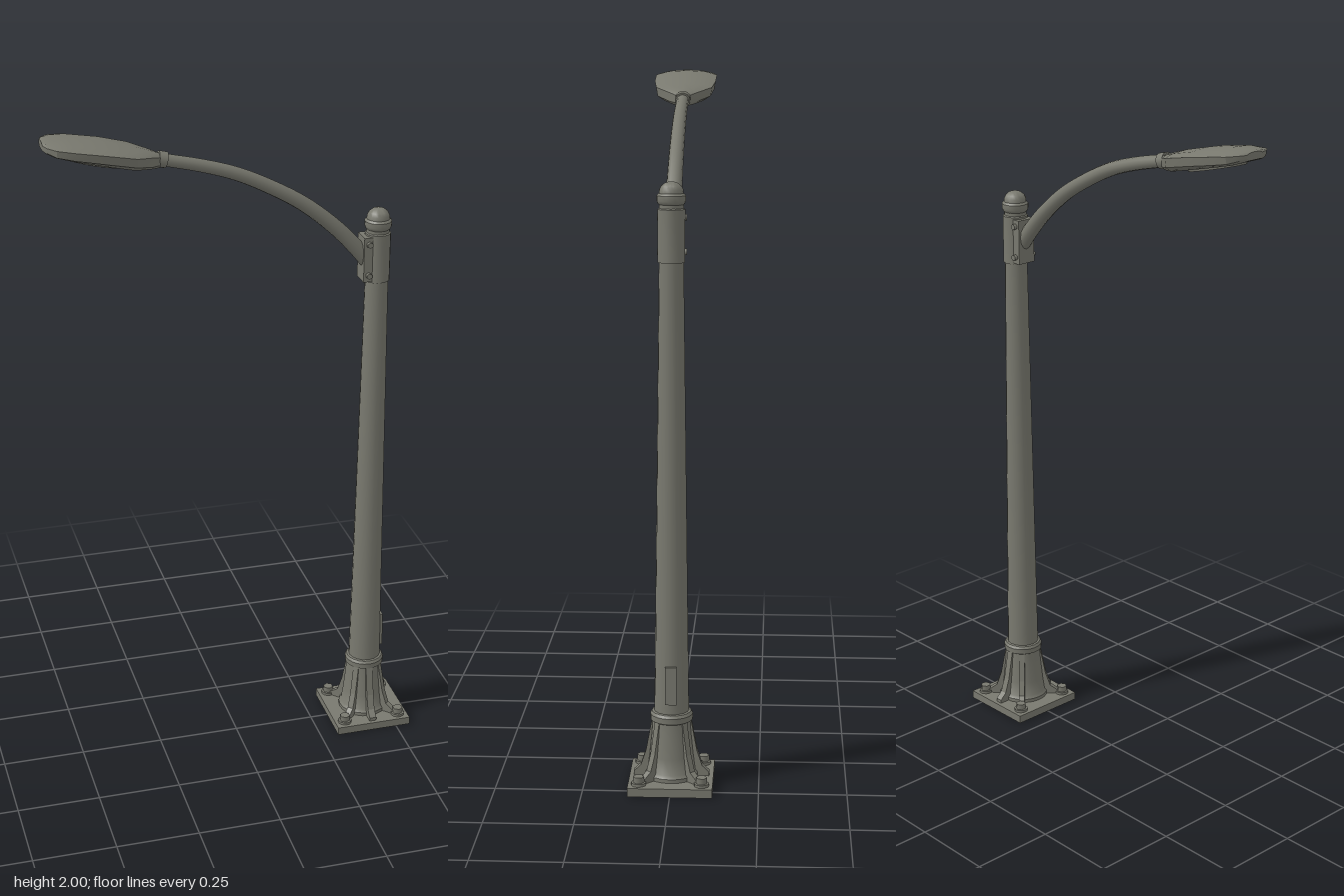
import * as THREE from 'three';
import { toCreasedNormals } from 'three/addons/utils/BufferGeometryUtils.js';

const POST_X = 0.425;

// Closed loft through rings of [x, y, z] points, capped at both ends
function loft(rings) {
  const n = rings[0].length, index = [];
  for (let i = 0; i < rings.length - 1; i++) {
    for (let j = 0; j < n; j++) {
      const a = i * n + j, b = i * n + (j + 1) % n;
      index.push(a, a + n, b + n, a, b + n, b);
    }
  }
  const last = (rings.length - 1) * n;
  for (let j = 1; j < n - 1; j++) {
    index.push(0, j, j + 1, last, last + j + 1, last + j);
  }
  const geo = new THREE.BufferGeometry();
  geo.setAttribute('position', new THREE.Float32BufferAttribute(rings.flat(2), 3));
  geo.setIndex(index);
  return toCreasedNormals(geo, 0.5);
}

export function createModel() {
  const model = new THREE.Group();
  model.name = 'streetLamp';
  const metal = new THREE.MeshStandardMaterial({ color: 0x79796f });
  metal.name = 'grey painted metal';

  const add = (name, geo, x = 0, y = 0, z = 0, parent = model) => {
    const mesh = new THREE.Mesh(geo, metal);
    mesh.name = name;
    mesh.position.set(x, y, z);
    parent.add(mesh);
    return mesh;
  };
  const lathe = (profile, segments = 20) => toCreasedNormals(
    new THREE.LatheGeometry(profile.map(p => new THREE.Vector2(...p)), segments), 0.6);

  // Everything centred on the post axis
  const post = new THREE.Group();
  post.name = 'post';
  post.position.x = POST_X;
  model.add(post);

  add('basePlate', new THREE.BoxGeometry(0.24, 0.025, 0.24), 0, 0.0125, 0, post);
  add('baseFlare', lathe([[0, 0.025], [0.077, 0.025], [0.077, 0.036], [0.07, 0.045], [0.064, 0.09],
    [0.058, 0.15], [0.055, 0.19], [0.06, 0.193], [0.061, 0.21], [0.056, 0.218], [0.046, 0.22]]), 0, 0, 0, post);
  add('pole', lathe([[0.05, 0.2], [0.049, 0.24], [0.034, 1.52], [0.034, 1.66]], 16), 0, 0, 0, post);
  add('sleeve', lathe([[0.033, 1.5], [0.038, 1.5], [0.038, 1.645], [0.033, 1.648]]), 0, 0, 0, post);

  // Finial: stepped collar and dome
  add('finial', lathe([[0.033, 1.64], [0.031, 1.655], [0.037, 1.66], [0.04, 1.668], [0.04, 1.682], [0.034, 1.688],
    [0.033, 1.698], [0.028, 1.708], [0.018, 1.716], [0.008, 1.719], [0, 1.72]]), 0, 0, 0, post);

  // Access hatch low on the post
  const hatch = add('hatch', new THREE.BoxGeometry(0.014, 0.11, 0.032), 0.047, 0.305, 0, post);
  hatch.rotation.z = 0.012;

  // Base ribs: one to each corner bolt, plus front and back
  const ribGeo = (reach, t) => {
    const shape = new THREE.Shape([[0.03, 0.025], [reach, 0.025], [reach, 0.036], [0.088, 0.055],
      [0.073, 0.1], [0.062, 0.16], [0.056, 0.192], [0.03, 0.192]].map(p => new THREE.Vector2(...p)));
    return new THREE.ExtrudeGeometry(shape, { depth: t, bevelEnabled: false }).translate(0, 0, -t / 2);
  };
  for (let i = 0; i < 4; i++) {
    const a = Math.PI / 4 + i * Math.PI / 2;
    add('cornerRib', ribGeo(0.115, 0.018), 0, 0, 0, post).rotation.y = a;
    const x = 0.089 * Math.sign(Math.cos(a)), z = 0.089 * Math.sign(Math.sin(a));
    add('boltWasher', new THREE.CylinderGeometry(0.021, 0.021, 0.008, 14), x, 0.029, z, post);
    add('anchorNut', new THREE.CylinderGeometry(0.016, 0.016, 0.02, 6), x, 0.04, z, post);
  }
  for (const s of [-1, 1]) {
    add('sideRib', ribGeo(0.108, 0.022), 0, 0, 0, post).rotation.y = s * Math.PI / 2;
  }

  // Arm bracket with through bolts
  add('bracket', new THREE.BoxGeometry(0.026, 0.135, 0.06), -0.037, 1.572, 0, post);
  for (const y of [1.525, 1.62]) {
    for (const s of [-1, 1]) {
      const bolt = add('bracketBolt', new THREE.CylinderGeometry(0.009, 0.009, 0.014, 6), -0.035, y, s * 0.034, post);
      bolt.rotation.x = Math.PI / 2;
    }
  }

  // Curved arm, slightly thicker at the post
  const path = new THREE.CatmullRomCurve3([[0.4, 1.555], [0.37, 1.592], [0.3, 1.667], [0.2, 1.75], [0.1, 1.81],
    [0, 1.858], [-0.1, 1.89], [-0.23, 1.921]].map(([x, y]) => new THREE.Vector3(x, y, 0)));
  const arm = new THREE.TubeGeometry(path, 28, 0.02, 12);
  const pos = arm.attributes.position, v = new THREE.Vector3();
  for (let i = 0; i < pos.count; i++) {
    const t = Math.floor(i / 13) / 28, c = path.getPointAt(t);
    v.fromBufferAttribute(pos, i).sub(c).multiplyScalar(1.2 - 0.3 * t).add(c);
    pos.setXYZ(i, v.x, v.y, v.z);
  }
  add('arm', arm);
  const collar = add('armCollar', new THREE.CylinderGeometry(0.023, 0.023, 0.025, 14), -0.214, 1.918, 0);
  collar.rotation.z = Math.PI / 2 - 0.24;

  // Lamp head stations: x, half width, top, upper edge, lower edge, bottom
  const stations = [
    [-0.55, 0.03, 1.998, 1.992, 1.982, 1.976],
    [-0.542, 0.055, 2.0, 1.992, 1.978, 1.972],
    [-0.52, 0.08, 2.0, 1.99, 1.97, 1.964],
    [-0.475, 0.095, 1.998, 1.985, 1.962, 1.953],
    [-0.38, 0.094, 1.983, 1.968, 1.943, 1.93],
    [-0.3, 0.085, 1.963, 1.951, 1.925, 1.911],
    [-0.25, 0.045, 1.947, 1.938, 1.911, 1.902],
    [-0.223, 0.022, 1.937, 1.93, 1.907, 1.899],
  ];
  add('lampHead', loft(stations.map(([x, w, top, up, low, bottom]) => [
    [x, low, w * 0.95], [x, up, w], [x, top - (top - up) * 0.3, w * 0.65], [x, top, 0],
    [x, top - (top - up) * 0.3, -w * 0.65], [x, up, -w], [x, low, -w * 0.95],
    [x, bottom, -w * 0.7], [x, bottom, w * 0.7],
  ])));

  // Shallow lens under the head
  const lens = add('lens', new THREE.CylinderGeometry(1, 0.94, 0.012, 24).scale(0.105, 1, 0.058), -0.415, 1.938, 0);
  lens.rotation.z = -0.245;
  return model;
}
